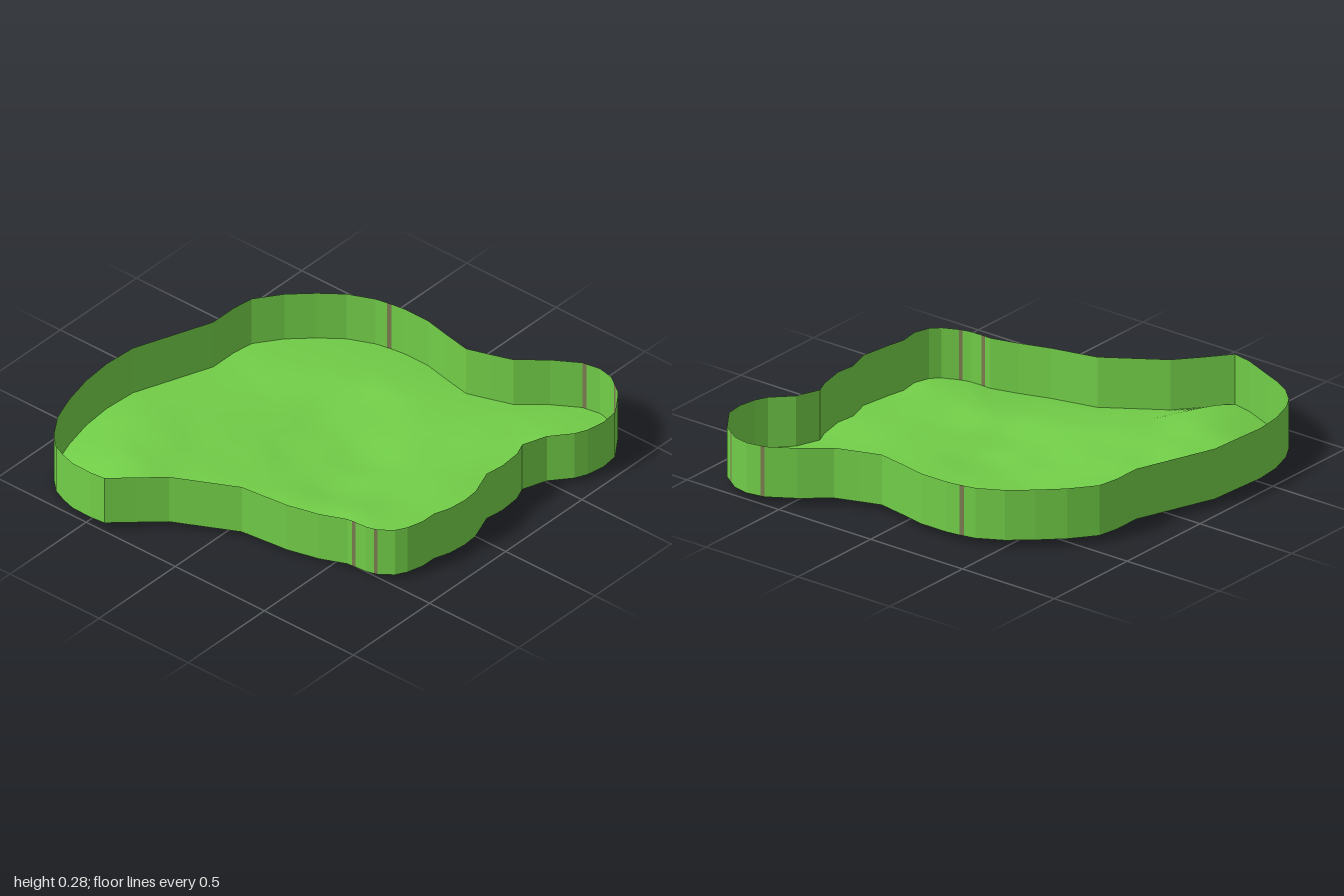
import * as THREE from 'three';

// Outline of the tray in plan, as x, z pairs, starting at the back and running towards +x
const OUTLINE = [
  0.01, -0.765, 0.145, -0.74, 0.25, -0.775, 0.35, -0.81, 0.47, -0.91, 0.59, -0.985,
  0.61, -0.988, 0.675, -1, 0.75, -0.985, 0.79, -0.958, 0.806, -0.947, 0.845, -0.92,
  0.93, -0.8, 0.94, -0.71, 0.925, -0.625, 0.9, -0.57, 0.82, -0.48, 0.78, -0.365,
  0.807, -0.3, 0.823, -0.185, 0.812, -0.095, 0.855, 0.03, 0.855, 0.1, 0.845, 0.185,
  0.823, 0.265, 0.828, 0.345, 0.807, 0.42, 0.775, 0.465, 0.712, 0.505, 0.697, 0.51,
  0.66, 0.52, 0.605, 0.523, 0.585, 0.524, 0.56, 0.525, 0.437, 0.57, 0.295, 0.61,
  0.07, 0.645, -0.205, 0.8, -0.305, 0.9, -0.4, 0.998, -0.48, 0.995, -0.6, 0.97,
  -0.675, 0.945, -0.745, 0.91, -0.81, 0.85, -0.87, 0.755, -0.913, 0.63, -0.94, 0.487,
  -0.945, 0.345, -0.935, 0.185, -0.8, -0.185, -0.8, -0.32, -0.785, -0.42, -0.7, -0.535,
  -0.6, -0.63, -0.5, -0.71, -0.385, -0.765, -0.33, -0.777, -0.31, -0.781, -0.245, -0.79,
  -0.11, -0.79,
];

// Height of the wall's foot at a few places: x, z, y
const EDGE = [
  [-0.94, 0.3, 0.035], [-0.9, 0.68, 0.015], [-0.77, 0.88, -0.002], [-0.6, 0.97, 0.01],
  [-0.4, 1, 0.047], [-0.2, 0.8, 0.032], [0.07, 0.645, 0.022], [0.42, 0.57, 0.01],
  [0.7, 0.51, 0.02], [0.82, 0.38, 0.035], [0.845, 0.18, 0.02], [0.82, -0.1, 0.036],
  [0.78, -0.37, 0.025], [0.92, -0.65, 0.03], [0.68, -1, 0.03], [0.4, -0.85, 0.03],
  [0.14, -0.74, 0.03], [-0.25, -0.79, 0.03], [-0.65, -0.6, 0.035], [-0.82, -0.15, 0.032],
];
// Rise of the floor above that level: x, z, rise
const HILLS = [
  // ridge across the front corner
  [-0.67, 0.6, 0.11], [-0.5, 0.72, 0.09], [-0.6, 0.45, 0.07], [-0.75, 0.4, 0.07],
  // low middle
  [0.1, -0.1, -0.018], [-0.15, -0.2, -0.01], [0.15, 0.1, -0.005], [-0.1, 0.05, 0],
  [0.35, 0, 0.008], [-0.1, -0.35, 0],
  // slopes rising towards the wall
  [0.4, 0.3, 0.04], [0.1, 0.42, 0.03], [-0.25, 0.25, 0.025], [-0.3, 0.5, 0.04],
  [-0.2, 0.65, 0.02], [-0.45, 0.25, 0.04], [-0.45, -0.1, 0.018], [-0.65, 0.1, 0.035],
  [-0.6, -0.35, 0.035], [-0.4, -0.5, 0.035], [-0.15, -0.6, 0.03], [0.15, -0.5, 0.015],
  [0.3, -0.3, 0.01], [0.5, -0.55, 0.02], [0.7, -0.75, 0.035], [0.65, -0.45, 0.005],
  [0.6, -0.1, 0.02], [0.65, 0.2, 0.03],
];
const WALL_HEIGHT = 0.235;

// Inverse-distance blend of known heights
function blend(samples, x, z) {
  let sum = 0, weights = 0;
  for (const [hx, hz, hy] of samples) {
    const w = 1 / (Math.pow(Math.hypot(x - hx, z - hz), 3) + 0.0008);
    sum += w * hy;
    weights += w;
  }
  return sum / weights;
}

function makeGeometry(positions, index) {
  const g = new THREE.BufferGeometry();
  g.setAttribute('position', new THREE.Float32BufferAttribute(positions, 3));
  if (index) g.setIndex(index);
  g.computeVertexNormals();
  return g;
}

// Rolling floor: rings of the outline shrinking to the middle, hills fading out at the wall
function floorGeometry(points, rings = 20) {
  const n = points.length;
  const pos = [], index = [];
  const vertex = (x, z, s) =>
    pos.push(x, blend(EDGE, x, z) + blend(HILLS, x, z) * (1 - s ** 4), z);
  vertex(0, 0, 0);
  for (let r = 1; r <= rings; r++) {
    const s = r / rings;
    for (const [x, z] of points) vertex(x * s, z * s, s);
  }
  for (let i = 0; i < n; i++) {
    const j = (i + 1) % n;
    index.push(0, 1 + j, 1 + i);
    for (let r = 0; r < rings - 1; r++) {
      const a = 1 + r * n, b = a + n;
      index.push(a + i, a + j, b + j, a + i, b + j, b + i);
    }
  }
  return makeGeometry(pos, index);
}

// Upright flat panels between neighbouring outline points
function wallGeometry(segments) {
  const pos = [];
  for (const [[ax, az], [bx, bz]] of segments) {
    const ay = blend(EDGE, ax, az), by = blend(EDGE, bx, bz);
    const a = [ax, ay, az], A = [ax, ay + WALL_HEIGHT, az];
    const b = [bx, by, bz], B = [bx, by + WALL_HEIGHT, bz];
    pos.push(...b, ...a, ...A, ...b, ...A, ...B);
  }
  return makeGeometry(pos);
}

export function createModel() {
  const green = new THREE.MeshStandardMaterial({ color: 0x72ce48, side: THREE.DoubleSide });
  green.name = 'grass green';
  const brown = new THREE.MeshStandardMaterial({ color: 0x7c7a50, side: THREE.DoubleSide });
  brown.name = 'dull brown';

  const points = [];
  for (let i = 0; i < OUTLINE.length; i += 2) points.push([OUTLINE[i], OUTLINE[i + 1]]);

  // The narrow panels are the brown strips
  const panels = [], strips = [];
  points.forEach((p, i) => {
    const q = points[(i + 1) % points.length];
    const width = Math.hypot(q[0] - p[0], q[1] - p[1]);
    (width < 0.023 ? strips : panels).push([p, q]);
  });

  const group = new THREE.Group();
  group.name = 'terrainTray';
  const add = (name, geometry, material) => {
    const mesh = new THREE.Mesh(geometry, material);
    mesh.name = name;
    group.add(mesh);
  };
  add('floor', floorGeometry(points), green);
  add('wall', wallGeometry(panels), green);
  add('wallStrips', wallGeometry(strips), brown);
  return group;
}
